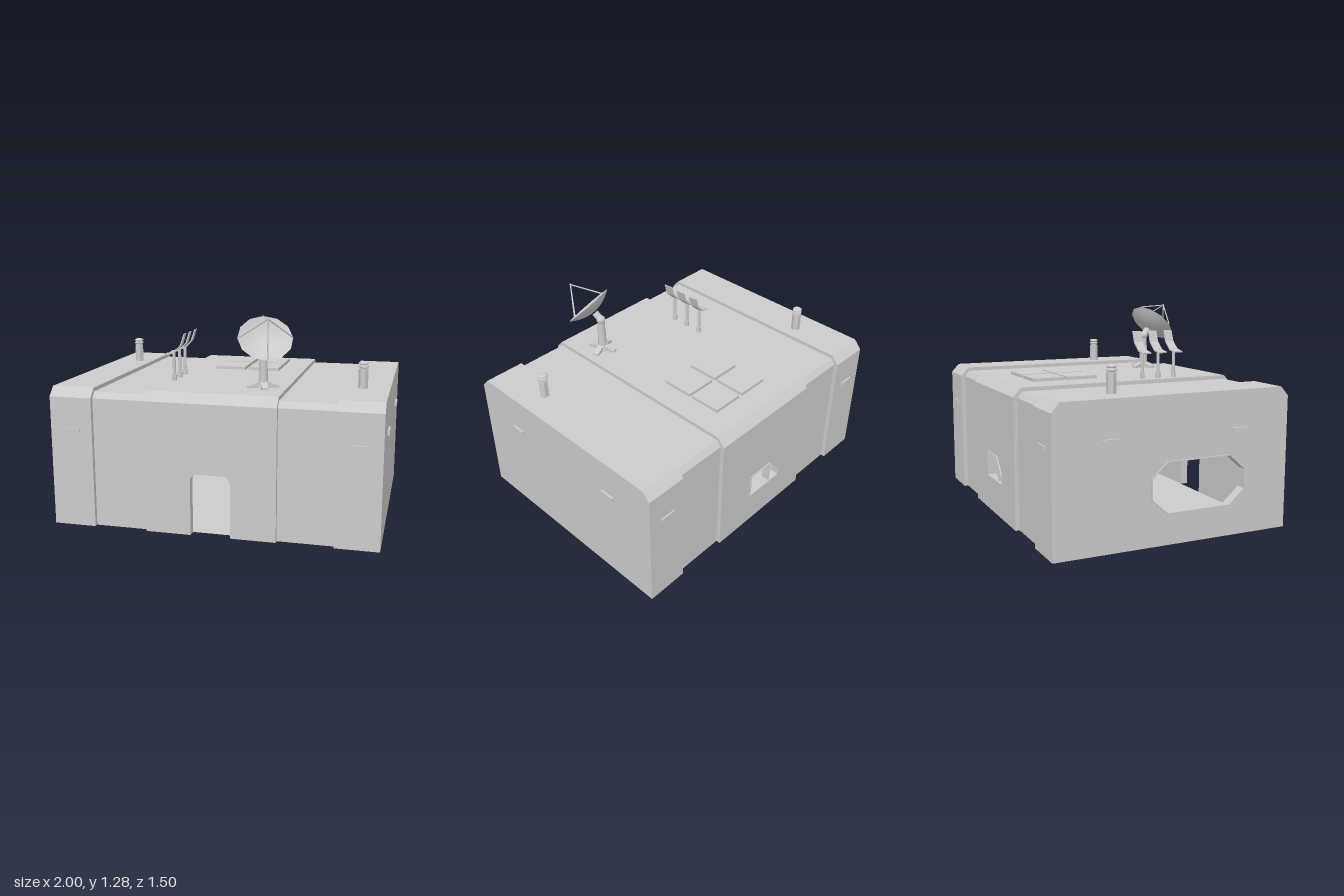
import * as THREE from 'three';

const flat = new THREE.MeshStandardMaterial({ color: 0xcccccc, flatShading: true, side: THREE.DoubleSide });
const smooth = new THREE.MeshStandardMaterial({ color: 0xcccccc, side: THREE.DoubleSide });
const V = (x, y, z) => new THREE.Vector3(x, y, z);

function add(parent, name, geo, x = 0, y = 0, z = 0, mat = flat) {
  const m = new THREE.Mesh(geo, mat);
  m.name = name;
  m.position.set(x, y, z);
  parent.add(m);
  return m;
}

// Open sheet: an xy polyline swept from z = a to z = b
function sweep(pts, a, b) {
  const pos = [];
  for (let i = 0; i < pts.length - 1; i++) {
    const [p, q] = [pts[i], pts[i + 1]];
    pos.push(...p, a, ...q, a, ...q, b, ...p, a, ...q, b, ...p, b);
  }
  const g = new THREE.BufferGeometry();
  g.setAttribute('position', new THREE.Float32BufferAttribute(pos, 3));
  g.computeVertexNormals();
  return g;
}

const toV2 = (pts) => pts.map(([x, y]) => new THREE.Vector2(x, y));
function outline(pts, hole) {
  const s = new THREE.Shape(toV2(pts));
  if (hole) s.holes.push(new THREE.Path(toV2(hole)));
  return s;
}
const sheet = (pts, hole) => new THREE.ShapeGeometry(outline(pts, hole));

// Window frame: extruded ring whose opening is inset by t
function ring(pts, t, depth) {
  const box = new THREE.Box2().setFromPoints(toV2(pts));
  const c = box.getCenter(new THREE.Vector2()), s = box.getSize(new THREE.Vector2());
  const inner = pts.map(([x, y]) => [c.x + (x - c.x) * (1 - 2 * t / s.x), c.y + (y - c.y) * (1 - 2 * t / s.y)]);
  return new THREE.ExtrudeGeometry(outline(pts, inner), { depth, bevelEnabled: false });
}

// Thin rod between two points
function rod(parent, name, a, b, r, sides = 6) {
  const d = b.clone().sub(a), mid = a.clone().add(b).multiplyScalar(0.5);
  const m = add(parent, name, new THREE.CylinderGeometry(r, r, d.length(), sides), mid.x, mid.y, mid.z);
  m.quaternion.setFromUnitVectors(V(0, 1, 0), d.normalize());
  return m;
}

const X = 0.987, Z = 0.742, ROOF = 0.85;
const IX = X - 0.052, IZ = Z - 0.05;  // room inside the walls
const big = [[-Z, 0], [-Z, 0.795], [-0.692, ROOF], [0.692, ROOF], [Z, 0.795], [Z, 0]];
const small = [[-0.716, 0], [-0.716, 0.79], [-0.688, 0.826], [0.688, 0.826], [0.716, 0.79], [0.716, 0]];
const inner = [[-IZ, 0], [-IZ, 0.77], [-0.662, 0.8], [0.662, 0.8], [IZ, 0.77], [IZ, 0]];

function building() {
  const g = new THREE.Group();
  g.name = 'building';

  // Openings
  const door = [[-0.12, 0]];
  for (let i = 0; i <= 4; i++) {
    const a = i * Math.PI / 8;
    door.push([-0.075 - 0.045 * Math.cos(a), 0.33 + 0.045 * Math.sin(a)]);
  }
  for (const [x, y] of [...door].reverse()) door.push([-x, y]);
  const backWindow = [[-0.16, 0.222], [0.12, 0.222], [0.12, 0.382], [-0.07, 0.382], [-0.16, 0.28]];
  const sideWindow = [[-0.35, 0.18], [0.06, 0.18], [0.16, 0.27], [0.16, 0.39], [0.06, 0.48],
    [-0.35, 0.48], [-0.45, 0.39], [-0.45, 0.27]];

  // Hull running along x: ends, recessed bays, middle roof
  const hull = new THREE.Group();
  hull.name = 'hull';
  hull.rotation.y = Math.PI / 2;
  g.add(hull);
  const step = [...big, ...[...small].reverse()];
  add(hull, 'rightEndSection', sweep(big, -X, -0.725));
  add(hull, 'leftEndSection', sweep(big, 0.725, X));
  add(hull, 'rightRecessedBay', sweep(small, -0.725, -0.395));
  add(hull, 'leftRecessedBay', sweep(small, 0.392, 0.725));
  add(hull, 'middleRoof', sweep(big.slice(1, 5), -0.395, 0.392));
  for (const x of [-0.725, -0.395, 0.392, 0.725]) add(hull, 'sectionStep', sheet(step), 0, 0, x);
  add(hull, 'leftWall', sheet(big), 0, 0, X);
  add(hull, 'rightWall', sheet(big, sideWindow), 0, 0, -X);
  add(hull, 'sideWindowFrame', ring(sideWindow, 0.006, 0.06), 0, 0, -X - 0.008);

  // Room lining along x
  add(hull, 'ceiling', sweep(inner.slice(1, 5), -IX, IX));
  add(hull, 'leftInnerWall', sheet(inner), 0, 0, IX);
  add(hull, 'rightInnerWall', sheet(inner, sideWindow), 0, 0, -IX);

  // Front and back walls, outer and inner, with doorway and window
  const walls = [['Wall', -0.395, 0.392, 0.795, Z], ['InnerWall', -IX, IX, 0.77, IZ]];
  for (const [name, l, r, h, z] of walls) {
    add(g, 'front' + name, sheet([[l, 0], ...door, [r, 0], [r, h], [l, h]]), 0, 0, z);
    add(g, 'back' + name, sheet([[l, 0], [r, 0], [r, h], [l, h]], backWindow), 0, 0, -z);
  }
  add(g, 'doorJamb', sweep(door, IZ, Z));
  add(g, 'backWindowFrame', ring(backWindow, 0.004, 0.058), 0, 0, -Z - 0.008);
  add(g, 'backWindowBar', new THREE.BoxGeometry(0.006, 0.155, 0.05), -0.072, 0.302, -Z + 0.025);

  const floor = add(g, 'floor', new THREE.PlaneGeometry(2 * IX, 2 * IZ));
  floor.rotation.x = -Math.PI / 2;

  // Small lamps on all four sides
  for (const s of [-1, 1]) for (const t of [-1, 1]) {
    add(g, 'wallLamp', new THREE.BoxGeometry(0.1, 0.026, 0.03), s * 0.853, 0.597, t * (Z - 0.005));
    add(g, 'sideLamp', new THREE.BoxGeometry(0.03, 0.028, 0.097), s * 0.985, 0.619, t * 0.407);
  }
  return g;
}

// Six-sided vent pipe with ribbed cap
function ventPipe(x, z) {
  const g = new THREE.Group();
  g.name = 'ventPipe';
  g.position.set(x, ROOF, z);
  add(g, 'pipe', new THREE.CylinderGeometry(0.029, 0.029, 0.115, 6), 0, 0.0575, 0).rotation.y = Math.PI / 6;
  const cap = [[0.022, 0.11], [0.022, 0.122], [0.03, 0.126], [0.03, 0.134], [0.023, 0.138],
    [0.023, 0.142], [0.03, 0.146], [0.03, 0.152], [0.018, 0.16], [0, 0.16]];
  add(g, 'cap', new THREE.LatheGeometry(toV2(cap), 12));
  return g;
}

// Post carrying a curved reflector strip
function reflector(z) {
  const g = new THREE.Group();
  g.name = 'reflector';
  g.position.set(-0.335, ROOF, z);
  g.rotation.y = 0.1;
  add(g, 'postFoot', new THREE.CylinderGeometry(0.015, 0.015, 0.036, 12), 0, 0.018, 0, smooth);
  add(g, 'post', new THREE.CylinderGeometry(0.01, 0.01, 0.18, 12), 0, 0.09, 0, smooth);
  const strip = [[-0.055, 0.166], [0, 0.179], [0.045, 0.226], [0.067, 0.293],
    [0.074, 0.293], [0.052, 0.222], [0.004, 0.171], [-0.053, 0.159]];
  add(g, 'strip', new THREE.ExtrudeGeometry(outline(strip), { depth: 0.06, bevelEnabled: false }), 0, 0, -0.03);
  return g;
}

// Dish antenna on a four-footed mast
function dishAntenna() {
  const g = new THREE.Group();
  g.name = 'dishAntenna';
  g.position.set(0.25, ROOF, 0.443);
  g.rotation.y = 0.33;
  add(g, 'hub', new THREE.CylinderGeometry(0.034, 0.044, 0.035, 8), 0, 0.0175, 0);
  const leg = outline([[0.02, 0], [0.093, 0], [0.093, 0.014], [0.075, 0.018], [0.02, 0.038]]);
  for (let i = 0; i < 4; i++) {
    const geo = new THREE.ExtrudeGeometry(leg, { depth: 0.038, bevelEnabled: false }).translate(0, 0, -0.019);
    add(g, 'foot', geo).rotation.y = i * Math.PI / 2;
  }
  add(g, 'mast', new THREE.CylinderGeometry(0.023, 0.028, 0.19, 12), 0, 0.125, 0, smooth);
  add(g, 'joint', new THREE.SphereGeometry(0.029, 12, 8), 0, 0.222, 0, smooth);
  rod(g, 'neck', V(0, 0.222, 0), V(0, 0.262, 0.039), 0.023, 12).material = smooth;

  // Bowl, tilted 45 degrees, with four struts meeting at the feed
  const dish = new THREE.Group();
  dish.name = 'dish';
  dish.position.set(0, 0.306, 0.085);
  dish.rotation.x = Math.PI / 4;
  g.add(dish);
  const R = 0.162, bowl = [];
  for (let i = 0; i <= 6; i++) bowl.push([R * i / 6, 0.055 * ((i / 6) ** 2 - 1)]);
  add(dish, 'bowl', new THREE.LatheGeometry(toV2(bowl), 12), 0, 0, 0, smooth);
  const tip = V(0, 0.172, 0);
  for (let i = 0; i < 4; i++) {
    const a = i * Math.PI / 2;
    rod(dish, 'strut', V(R * Math.sin(a), 0, R * Math.cos(a)), tip, 0.004);
  }
  add(dish, 'feed', new THREE.SphereGeometry(0.007, 8, 6), 0, 0.172, 0, smooth);
  return g;
}

export function createModel() {
  const model = new THREE.Group();
  model.name = 'outpost';
  model.add(building());
  model.add(ventPipe(-0.82, -0.322), ventPipe(0.827, 0.322));
  for (const z of [0.348, 0.237, 0.126]) model.add(reflector(z));
  model.add(dishAntenna());
  // Roof panels
  for (const x of [-0.095, 0.132]) for (const z of [-0.443, -0.222])
    add(model, 'roofPanel', new THREE.BoxGeometry(0.2, 0.02, 0.202), x, ROOF + 0.01, z);
  return model;
}
